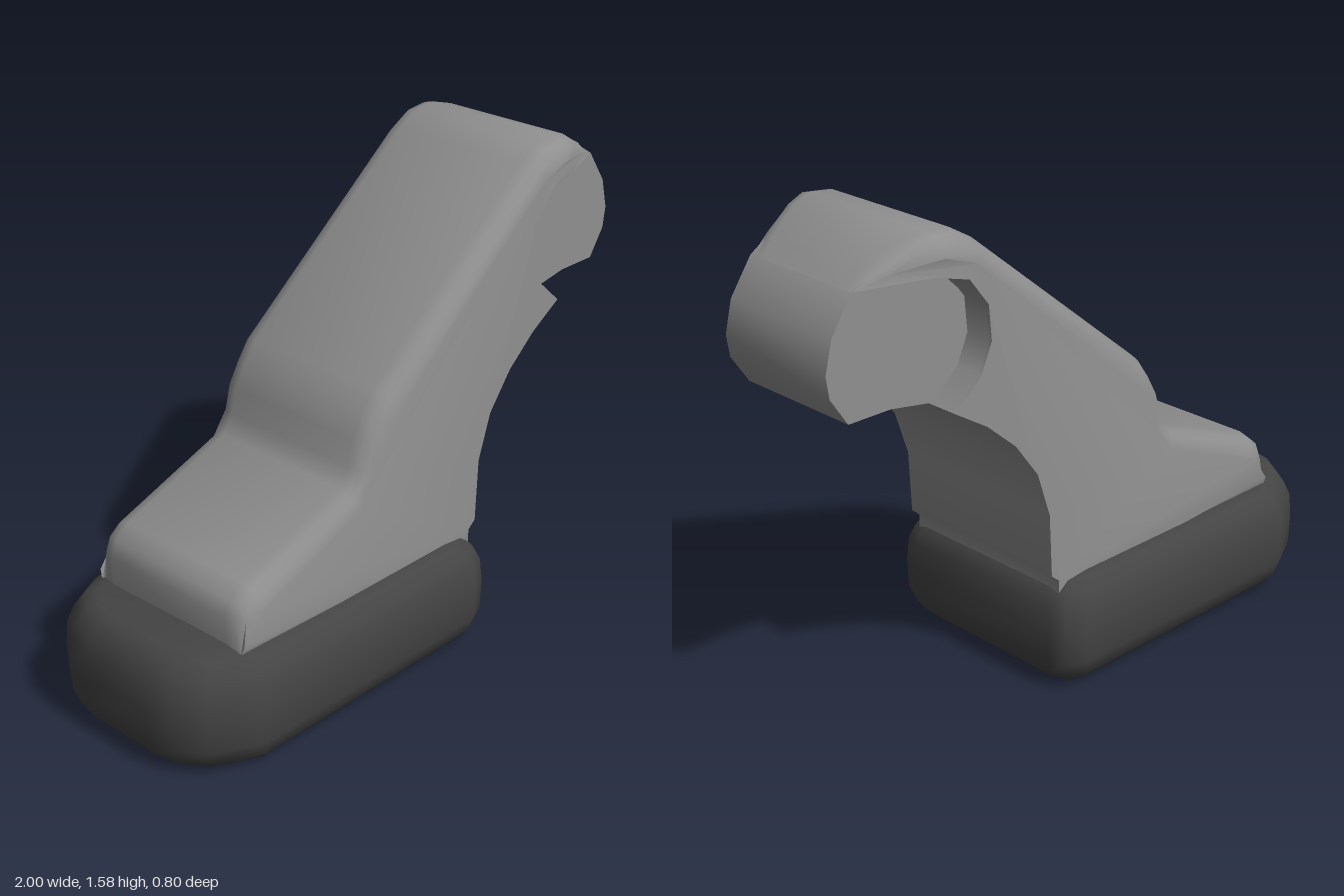
import * as THREE from 'three';
import { toCreasedNormals } from 'three/addons/utils/BufferGeometryUtils.js';

// Joins equal rings of points into a closed solid; the outline is counter-clockwise seen from the last ring.
function loft(rings, outline, crease) {
  const n = outline.length;
  const pos = rings.flat(2);
  const index = [];
  for (let r = 0; r < rings.length - 1; r++) {
    for (let i = 0; i < n; i++) {
      const a = r * n + i, b = r * n + (i + 1) % n;
      index.push(a, b, b + n, a, b + n, a + n);
    }
  }
  const last = (rings.length - 1) * n;
  const contour = outline.map(([u, v]) => new THREE.Vector2(u, v));
  for (const [a, b, c] of THREE.ShapeUtils.triangulateShape(contour, [])) {
    index.push(c, b, a, last + a, last + b, last + c);
  }
  const geo = new THREE.BufferGeometry();
  geo.setAttribute('position', new THREE.Float32BufferAttribute(pos, 3));
  geo.setIndex(index);
  return toCreasedNormals(geo, crease);
}

// Dark base block with a blunt round nose
function baseGeometry() {
  const half = [[-0.77, 0.4], [-0.92, 0.32], [-0.98, 0.23], [-1, 0.14]];
  const tail = [[0.255, 0.31], [0.235, 0.37], [0.17, 0.4]];
  const flip = (list) => list.map(([x, v]) => [x, -v]).reverse();
  const outline = [...flip(tail), ...tail, ...half, ...flip(half)];
  const layers = [[0, 0.085], [0.015, 0.05], [0.05, 0.02], [0.1, 0.003], [0.2, 0],
    [0.28, 0.006], [0.33, 0.025], [0.36, 0.055], [0.37, 0.085]];
  const cx = -0.37;
  const rings = layers.map(([y, inset]) => outline.map(([x, v]) => {
    const lip = y > 0.35 && x < -0.9 ? 0.015 : 0;
    return [cx + (x - cx) * (1 - inset / 0.63), y + lip, -v * (1 - inset / 0.4)];
  }));
  return loft(rings, outline, 0.9);
}

// Leaning body: its upper edges are rounded, its end tapers over the head
function bodyGeometry() {
  // x, y and how far the upper edge is rounded there
  const outline = [
    // underside and throat
    [-0.78, 0.33, 1], [0.22, 0.33, 0], [0.22, 0.375, 0], [0.25, 0.4, 0], [0.26, 0.61, 0],
    [0.31, 0.76, 0], [0.4, 0.88, 0], [0.51, 0.975, 0], [0.63, 1.05, 0],
    // round notch for the head
    [0.53, 1.14, 0], [0.49, 1.23, 0], [0.5, 1.34, 0], [0.57, 1.43, 0], [0.68, 1.465, 0],
    // crown, back and toe
    [0.9, 1.45, 0], [0.82, 1.51, 0.5], [0.73, 1.557, 0.9], [0.66, 1.575, 1], [0.58, 1.566, 1],
    [0.5, 1.52, 1], [-0.16, 0.99, 1], [-0.21, 0.92, 1], [-0.25, 0.85, 1], [-0.27, 0.77, 1],
    [-0.31, 0.71, 1], [-0.71, 0.56, 1], [-0.76, 0.52, 1], [-0.78, 0.47, 1],
  ];
  const n = outline.length;
  const layers = [[0.32, 0.065], [0.307, 0.03], [0.285, 0.01], [0.25, 0]];
  const all = [...layers.map(([z, inset]) => [-z, inset]), ...layers.slice().reverse()];
  const rings = all.map(([z, inset]) => outline.map(([x, y, k], i) => {
    const p = outline[(i + n - 1) % n], q = outline[(i + 1) % n];
    const dx = q[0] - p[0], dy = q[1] - p[1], len = Math.hypot(dx, dy);
    const taper = 1 - Math.max(0, x - 0.68) * 1.42;
    return [x - dy / len * inset * k, y + dx / len * inset * k, z * taper];
  }));
  return loft(rings, outline, 0.95);
}

// Narrow head set into the notch
function headGeometry() {
  const outline = [[0.5, 1.1], [0.63, 1.055], [0.78, 1.08], [0.93, 1.08], [0.99, 1.17],
    [1, 1.24], [0.975, 1.34], [0.9, 1.45], [0.82, 1.5], [0.66, 1.5], [0.45, 1.3]];
  const rings = [-0.22, 0.22].map((z) => outline.map(([x, y]) => [x, y, z]));
  return loft(rings, outline, 0.8);
}

export function createModel() {
  const darkGrey = new THREE.MeshStandardMaterial({ name: 'darkGrey', color: 0x444444 });
  const midGrey = new THREE.MeshStandardMaterial({ name: 'midGrey', color: 0x909090 });
  const group = new THREE.Group();
  group.name = 'model';
  const parts = [
    ['base', baseGeometry(), darkGrey],
    ['body', bodyGeometry(), midGrey],
    ['head', headGeometry(), midGrey],
  ];
  for (const [name, geometry, material] of parts) {
    const mesh = new THREE.Mesh(geometry, material);
    mesh.name = name;
    group.add(mesh);
  }
  return group;
}
